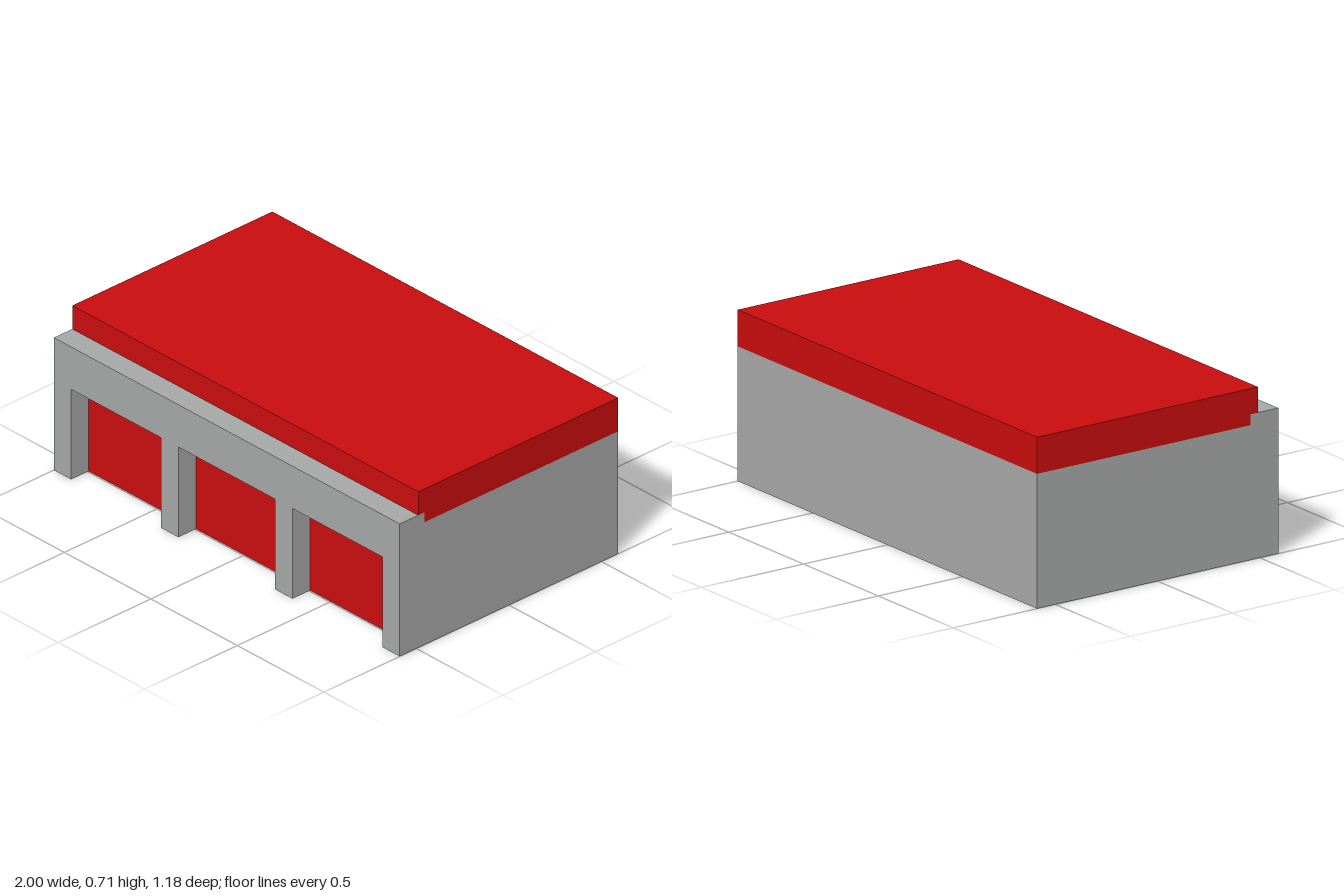
import * as THREE from 'three';

const red = new THREE.MeshStandardMaterial({ color: 0xcb0d0e });
red.name = 'red paint';
const grey = new THREE.MeshStandardMaterial({ color: 0xa7a9a8 });
grey.name = 'grey concrete';

const HALF_Z = 0.59, WALL_TOP = 0.605, ROOF_TOP = 0.712, DOOR_TOP = 0.412;

function toShape(points) {
  return new THREE.Shape(points.map(([x, y]) => new THREE.Vector2(x, y)));
}

// Side profile in (z, y), swept over the full width of the building
function sweepAcross(points) {
  const g = new THREE.ExtrudeGeometry(toShape(points), { depth: 2, bevelEnabled: false });
  return g.rotateY(-Math.PI / 2).translate(1, 0, 0);
}

function addPart(group, name, geometry, material) {
  const mesh = new THREE.Mesh(geometry, material);
  mesh.name = name;
  group.add(mesh);
  return mesh;
}

export function createModel() {
  const group = new THREE.Group();
  group.name = 'garage';

  // Main hall, with a low curb behind the front wall
  addPart(group, 'hall', sweepAcross([
    [-HALF_Z, 0], [0.475, 0], [0.475, WALL_TOP], [0.455, WALL_TOP], [0.455, 0.56], [-HALF_Z, 0.56],
  ]), grey);

  // Flat roof, stepped over the curb
  addPart(group, 'roof', sweepAcross([
    [-HALF_Z, 0.56], [0.455, 0.56], [0.455, WALL_TOP], [0.49, WALL_TOP], [0.49, ROOF_TOP], [-HALF_Z, ROOF_TOP],
  ]), red);

  // Front wall outline notched by three door openings
  const openings = [[-0.9, -0.38], [-0.28, 0.28], [0.38, 0.9]];
  const outline = [[-1, 0]];
  for (const [a, b] of openings) outline.push([a, 0], [a, DOOR_TOP], [b, DOOR_TOP], [b, 0]);
  outline.push([1, 0], [1, WALL_TOP], [-1, WALL_TOP]);
  const wall = new THREE.ExtrudeGeometry(toShape(outline), { depth: HALF_Z - 0.475, bevelEnabled: false });
  addPart(group, 'frontWall', wall.translate(0, 0, 0.475), grey);

  // Recessed doors
  openings.forEach(([a, b], i) => {
    const door = addPart(group, `door${i + 1}`, new THREE.BoxGeometry(b - a, DOOR_TOP, 0.02), red);
    door.position.set((a + b) / 2, DOOR_TOP / 2, 0.485);
  });

  return group;
}
